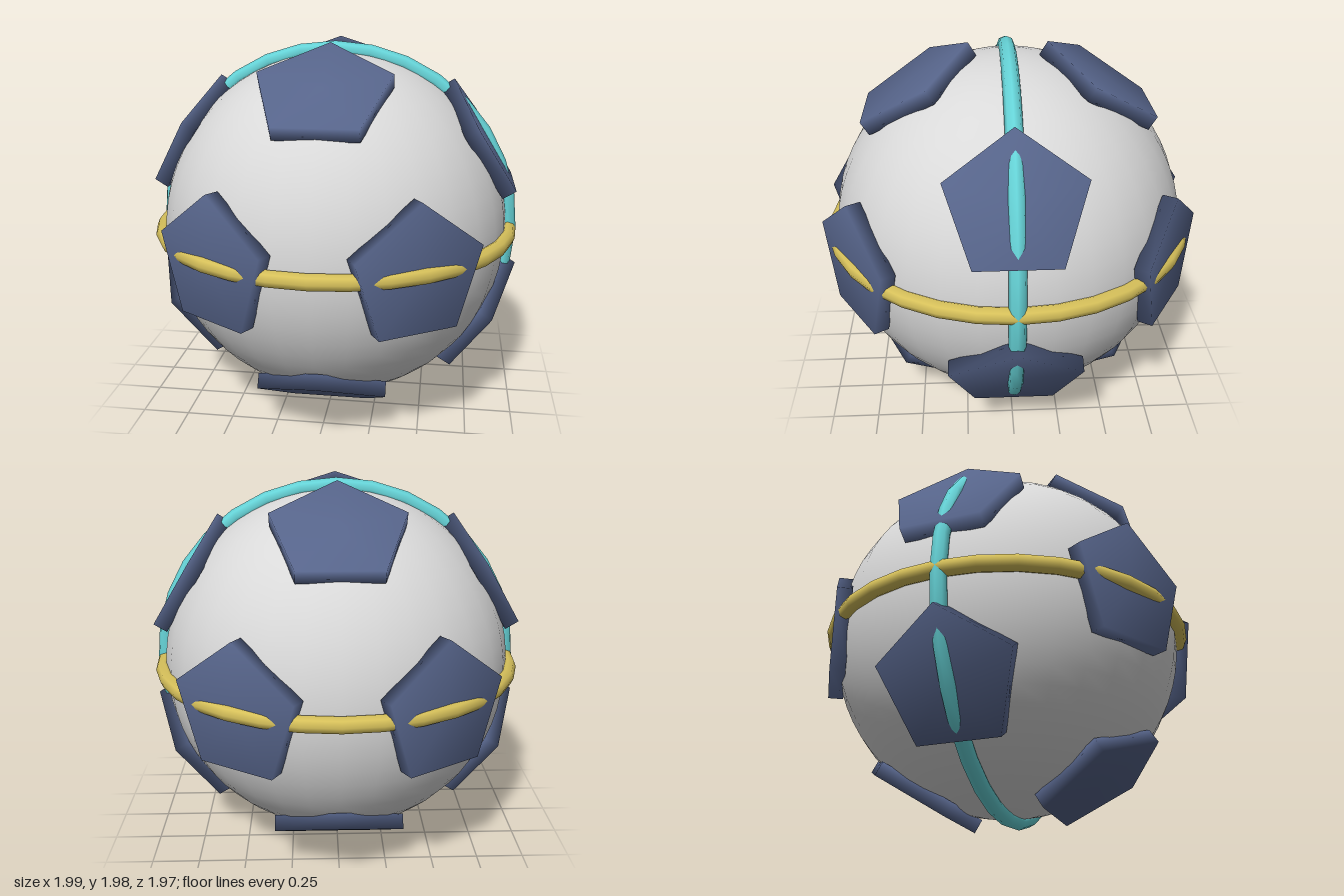
import * as THREE from 'three';
import { mergeVertices } from 'three/addons/utils/BufferGeometryUtils.js';

const CENTER_Y = 0.994;

function material(name, color) {
  const m = new THREE.MeshStandardMaterial({ color });
  m.name = name;
  return m;
}

// Five-sided slab facing +z with its apex up, normals blended over the edges
function pentagonGeometry(radius, depth) {
  let g = new THREE.CylinderGeometry(radius, radius, depth, 5);
  g.rotateX(-Math.PI / 2);
  g.deleteAttribute('normal');
  g.deleteAttribute('uv');
  g = mergeVertices(g, 1e-4);
  g.computeVertexNormals();
  return g;
}

export function createModel() {
  const model = new THREE.Group();
  model.name = 'ball';
  const white = material('ballGrey', 0xd9d9d9);
  const navy = material('slateBlue', 0x56648a);
  const cyan = material('cyan', 0x66d4d8);
  const gold = material('gold', 0xd6c05a);

  const add = (name, geometry, mat) => {
    const mesh = new THREE.Mesh(geometry, mat);
    mesh.name = name;
    mesh.position.y = CENTER_Y;
    model.add(mesh);
    return mesh;
  };

  // Ball body
  add('sphere', new THREE.SphereGeometry(0.93, 32, 32), white);

  // Two crossing rings
  const ring = new THREE.TorusGeometry(0.942, 0.043, 8, 32);
  add('verticalRing', ring, cyan);
  add('equatorRing', ring, gold).rotation.x = Math.PI / 2;

  // Twelve pentagon panels on the corners of an icosahedron
  const panel = pentagonGeometry(0.352, 0.08);
  const phi = (1 + Math.sqrt(5)) / 2;
  for (const a of [-1, 1]) {
    for (const b of [-phi, phi]) {
      for (const corner of [[a, 0, b], [0, b, a], [b, a, 0]]) {
        const dir = new THREE.Vector3(...corner).normalize();
        const mesh = add('pentagonPanel', panel, navy);
        mesh.position.addScaledVector(dir, 0.911);
        mesh.lookAt(mesh.position.clone().add(dir));
      }
    }
  }
  return model;
}
